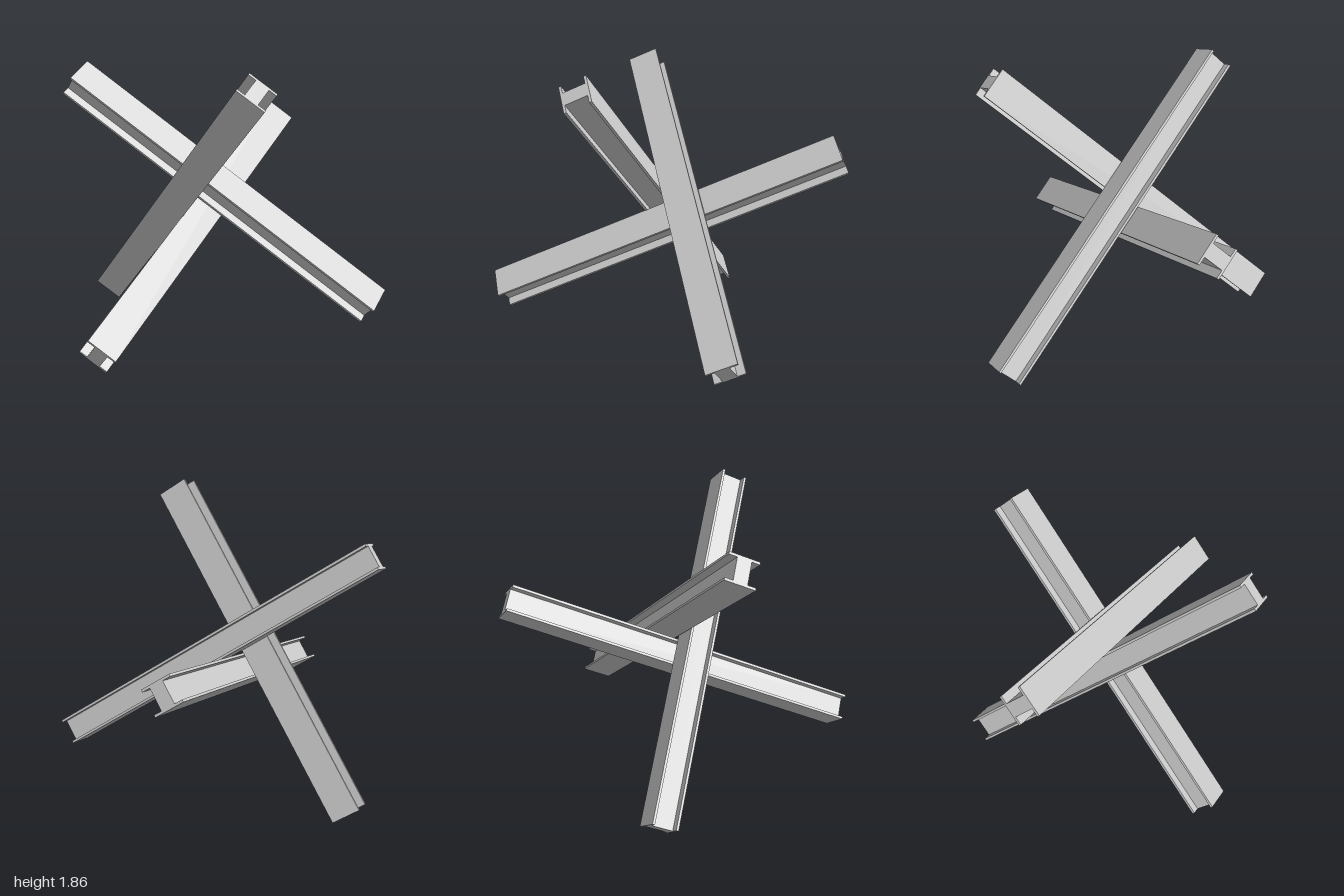
import * as THREE from 'three';

const LENGTH = 2.38, WIDTH = 0.195, DEPTH = 0.172, FLANGE = 0.016, WEB = 0.09;

// I-shaped section, mirrored about both axes
function beamGeometry() {
  const w = WIDTH / 2, d = DEPTH / 2, i = d - FLANGE, b = WEB / 2;
  const half = [[w, -d], [w, -i], [b, -i], [b, i], [w, i], [w, d]];
  const outline = [...half, ...half.map(([x, y]) => [-x, -y])];
  const shape = new THREE.Shape(outline.map(([x, y]) => new THREE.Vector2(x, y)));
  const geometry = new THREE.ExtrudeGeometry(shape, { depth: LENGTH, bevelEnabled: false });
  return geometry.translate(0, 0, -LENGTH / 2);
}

export function createModel() {
  const group = new THREE.Group();
  group.name = 'antiTankObstacle';
  const geometry = beamGeometry();
  const material = new THREE.MeshStandardMaterial({ color: 0xcccccc, flatShading: true });

  // Each beam: centre, direction along its length, direction across its flanges
  const beams = [
    ['risingBeam', [-0.02, 0.78, 0.045], [1.82, 0.97, -1.19], [0.12, -0.115, 0.1]],
    ['fallingBeam', [0.15, 0.978, 0.095], [-1.52, 1.39, -1.2], [0.15, 0.08, -0.1]],
    ['uprightBeam', [-0.143, 0.933, -0.005], [0.21, 1.67, 1.68], [0.13, -0.115, 0.1]],
  ];
  for (const [name, centre, along, across] of beams) {
    const z = new THREE.Vector3(...along).normalize();
    const y = new THREE.Vector3().crossVectors(z, new THREE.Vector3(...across)).normalize();
    const x = new THREE.Vector3().crossVectors(y, z);
    const beam = new THREE.Mesh(geometry, material);
    beam.name = name;
    beam.quaternion.setFromRotationMatrix(new THREE.Matrix4().makeBasis(x, y, z));
    beam.position.set(...centre);
    group.add(beam);
  }
  return group;
}
